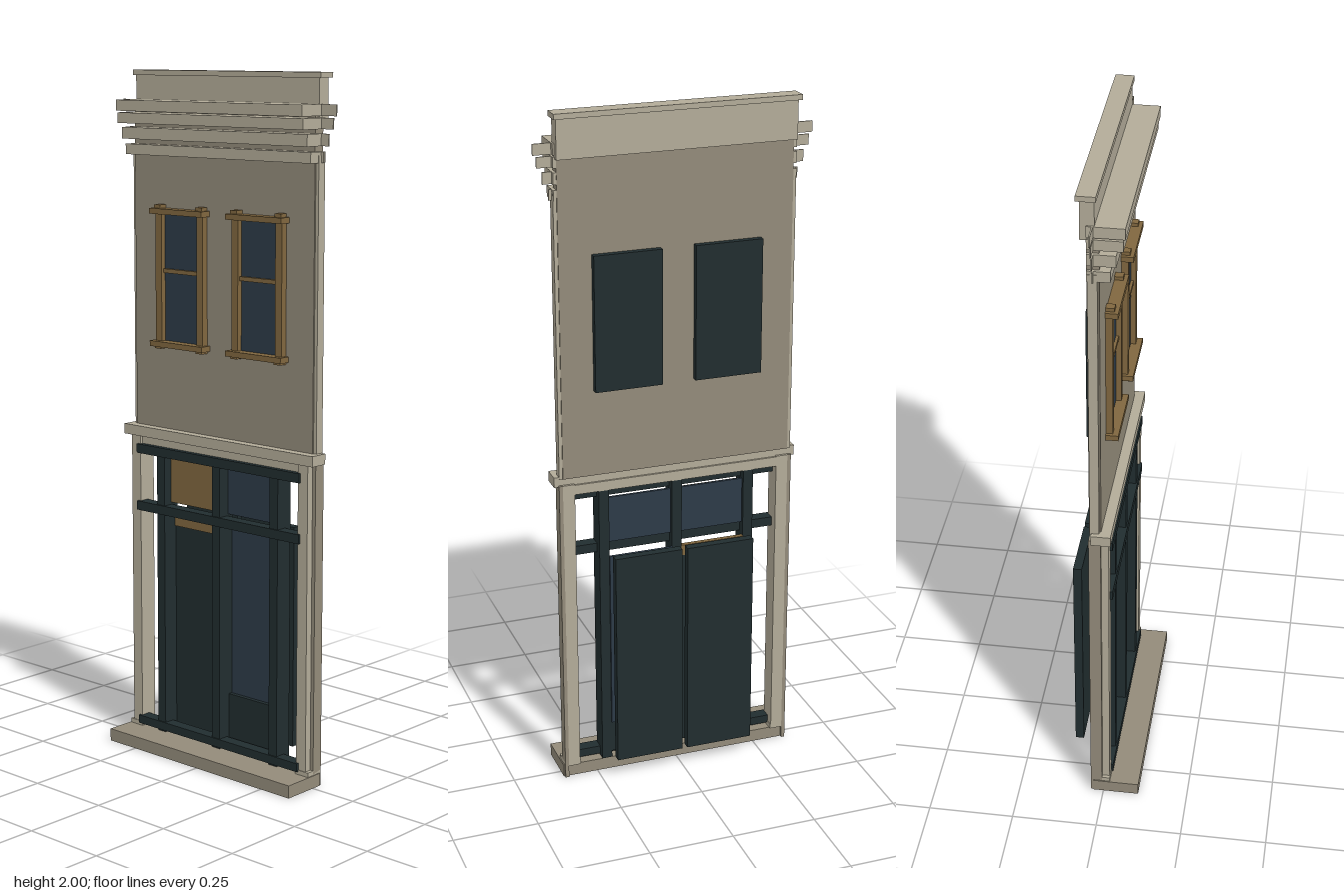
import * as THREE from 'three';

const mat = (name, color) => {
  const m = new THREE.MeshStandardMaterial({ color });
  m.name = name;
  return m;
};

export function createModel() {
  const model = new THREE.Group();
  model.name = 'storefront';
  const wall = mat('wallStone', 0x938b7a);
  const trim = mat('paleTrim', 0xb3ac99);
  const dark = mat('darkPaint', 0x212d2f);
  const wood = mat('brownWood', 0x80673f);
  const glass = mat('blueGlass', 0x2d3b48);

  // Box given by its extents on each axis
  const box = (name, m, x0, x1, y0, y1, z0, z1, parent = model) => {
    const mesh = new THREE.Mesh(new THREE.BoxGeometry(x1 - x0, y1 - y0, z1 - z0), m);
    mesh.position.set((x0 + x1) / 2, (y0 + y1) / 2, (z0 + z1) / 2);
    mesh.name = name;
    parent.add(mesh);
    return mesh;
  };
  // The same box on both sides of x = 0
  const pair = (name, m, x0, x1, ...rest) => {
    box(name, m, x0, x1, ...rest);
    box(name, m, -x1, -x0, ...rest);
  };

  // Doorstep and upper wall
  box('doorstep', wall, -0.355, 0.355, 0, 0.037, -0.03, 0.105);
  box('upperWall', wall, -0.34, 0.34, 0.96, 1.9, -0.037, -0.004);
  pair('wallEdge', trim, 0.34, 0.35, 0.96, 1.78, -0.034, -0.008);

  // Pilasters and the band above the shop front
  pair('pilaster', trim, 0.306, 0.341, 0.037, 0.94, -0.038, 0.017);
  pair('pilasterEdge', wall, 0.341, 0.352, 0.0, 0.94, -0.038, -0.004);
  pair('pilasterFoot', trim, 0.304, 0.352, 0.037, 0.05, -0.037, 0.019);
  box('lintel', trim, -0.31, 0.31, 0.908, 0.937, -0.036, 0.008);
  box('shopBand', trim, -0.364, 0.364, 0.935, 0.965, -0.03, 0.025);

  // Cornice: bands stepping forward, with thin returns at the ends
  const cornice = [
    [1.76, 1.79, 0.025, 0.358],
    [1.805, 1.838, 0.04, 0.375],
    [1.85, 1.88, 0.058, 0.39],
    [1.885, 1.916, 0.063, 0.4],
  ];
  for (const [y0, y1, z, x] of cornice) {
    box('corniceBand', trim, -0.349, 0.349, y0, y1, -0.036, z);
    pair('corniceReturn', trim, 0.349, x, y0, y1, -0.022, -0.018);
  }

  // Parapet and coping
  box('parapet', trim, -0.344, 0.344, 1.875, 1.987, -0.053, -0.015);
  box('coping', trim, -0.352, 0.352, 1.985, 2, -0.062, -0.01);

  // Shop frame: posts and rails
  for (const x of [-0.22, 0, 0.22]) {
    box('shopPost', dark, x - 0.015, x + 0.015, 0.04, 0.908, -0.035, 0.02);
  }
  for (const [y0, y1] of [[0.045, 0.07], [0.71, 0.737], [0.883, 0.91]]) {
    box('shopRail', dark, -0.315, 0.315, y0, y1, -0.012, 0.024);
  }

  // Left bay: door with a wooden head and a blind over the transom
  box('door', dark, -0.206, -0.014, 0.06, 0.67, -0.038, -0.028);
  box('doorHead', wood, -0.206, -0.014, 0.67, 0.702, -0.038, -0.024);
  box('transomBlind', wood, -0.203, -0.017, 0.745, 0.876, -0.014, -0.006);

  // Right bay: display window and kick panel; transom panes in both bays
  box('displayGlass', glass, 0.014, 0.206, 0.16, 0.702, -0.041, -0.033);
  box('kickPanel', dark, 0.014, 0.206, 0.06, 0.2, -0.033, -0.02);
  pair('transomGlass', glass, 0.014, 0.206, 0.742, 0.88, -0.024, -0.016);

  // Dark backing panels behind the door and the upper windows
  pair('lowerBacking', dark, 0.008, 0.21, 0.068, 0.722, -0.106, -0.081);
  pair('upperBacking', dark, 0.049, 0.246, 1.213, 1.605, -0.056, -0.037);

  // Upper sash windows
  for (const cx of [-0.148, 0.148]) {
    const w = new THREE.Group();
    w.name = 'sashWindow';
    w.position.x = cx;
    model.add(w);
    box('windowGlass', glass, -0.075, 0.075, 1.22, 1.6, -0.005, 0.0, w);
    for (const s of [-1, 1]) {
      const x = s * 0.081;
      box('windowJamb', wood, x - 0.012, x + 0.012, 1.21, 1.6, -0.004, 0.015, w);
      box('sillBracket', wood, x - 0.012, x + 0.012, 1.203, 1.212, -0.004, 0.02, w);
      box('headBlock', wood, x - 0.012, x + 0.012, 1.608, 1.62, -0.004, 0.02, w);
    }
    box('windowSill', wood, -0.103, 0.103, 1.21, 1.226, -0.004, 0.031, w);
    box('windowHead', wood, -0.103, 0.103, 1.594, 1.61, -0.004, 0.031, w);
    box('meetingRail', wood, -0.07, 0.07, 1.424, 1.436, -0.004, 0.008, w);
  }
  return model;
}
